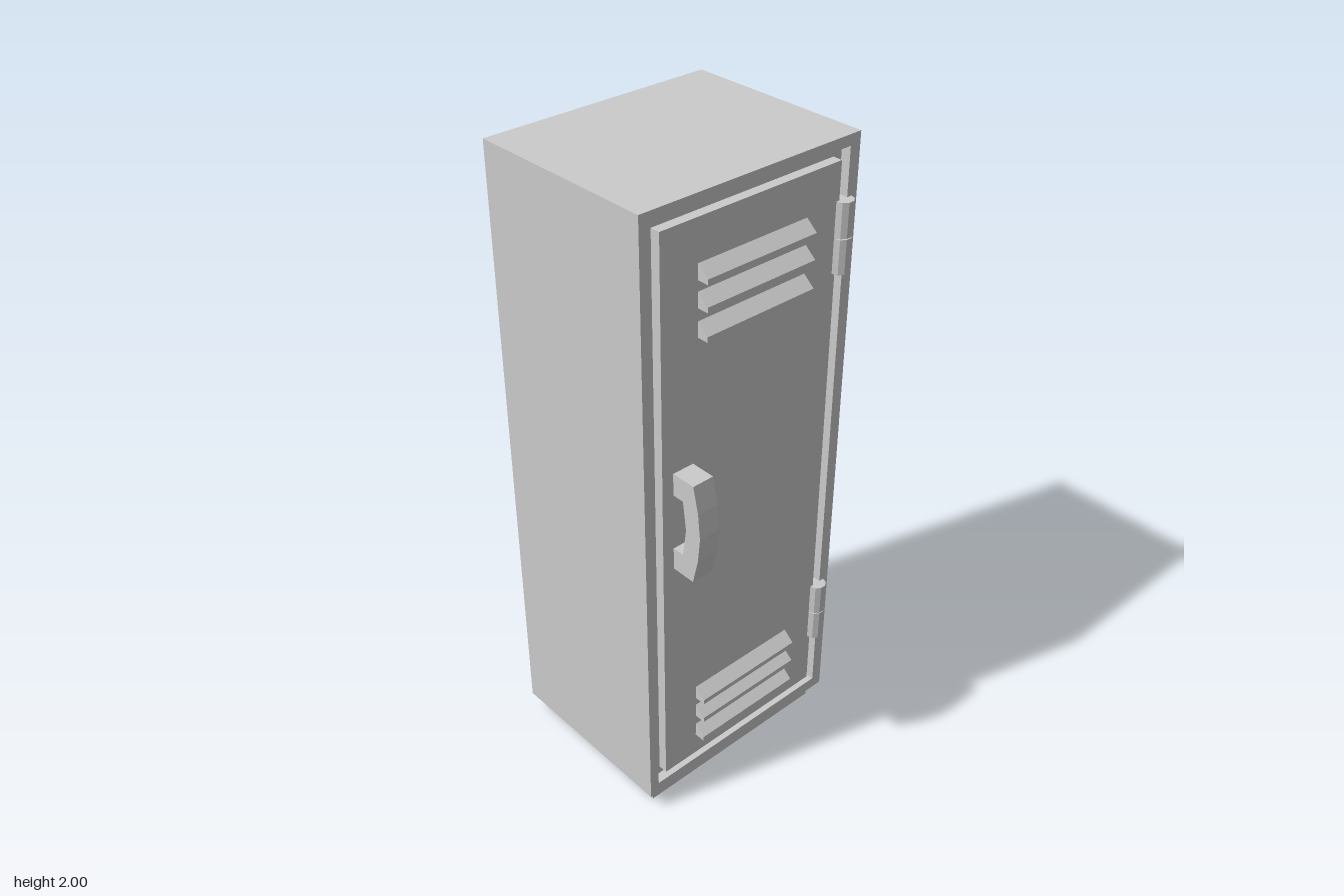
import * as THREE from 'three';

const material = new THREE.MeshStandardMaterial({ color: 0xcccccc, flatShading: true });
const FACE = 0.248; // x of the door face
const GROOVE = 0.03; // depth of the gap around the door

export function createModel() {
  const locker = new THREE.Group();
  locker.name = 'locker';

  const add = (name, geometry, x = 0, y = 0, z = 0) => {
    const mesh = new THREE.Mesh(geometry, material);
    mesh.name = name;
    mesh.position.set(x, y, z);
    locker.add(mesh);
    return mesh;
  };

  // Box given by its minimum and maximum corners
  const addBox = (name, [x0, y0, z0], [x1, y1, z1]) =>
    add(name, new THREE.BoxGeometry(x1 - x0, y1 - y0, z1 - z0),
      (x0 + x1) / 2, (y0 + y1) / 2, (z0 + z1) / 2);

  // Extrudes an x-y profile along z, centred on the given z
  const addProfile = (name, points, width, y, z) => {
    const shape = new THREE.Shape(points.map(([px, py]) => new THREE.Vector2(px, py)));
    const geometry = new THREE.ExtrudeGeometry(shape, { depth: width, bevelEnabled: false });
    return add(name, geometry, FACE, y, z - width / 2);
  };

  const rectangle = (path, u0, v0, u1, v1) =>
    path.moveTo(u0, v0).lineTo(u1, v0).lineTo(u1, v1).lineTo(u0, v1).closePath();

  // Plinth and cabinet
  addBox('plinth', [-0.325, 0, -0.342], [0.218, 0.057, 0.342]);
  addBox('cabinet', [-0.355, 0.057, -0.374], [FACE - GROOVE, 2, 0.374]);

  // Front frame around the door opening
  const frame = rectangle(new THREE.Shape(), -0.374, 0.057, 0.374, 2);
  frame.holes.push(rectangle(new THREE.Path(), -0.342, 0.096, 0.338, 1.968));
  const frameGeometry = new THREE.ExtrudeGeometry(frame, { depth: GROOVE, bevelEnabled: false });
  frameGeometry.rotateY(Math.PI / 2);
  add('doorFrame', frameGeometry, FACE - GROOVE);

  // Door, set in the opening with a gap all round
  addBox('door', [FACE - GROOVE, 0.124, -0.308], [FACE, 1.938, 0.312]);

  // Vent louvres, sloping on top and flat underneath
  const louvre = [[-0.005, 0], [0.036, 0], [0.036, 0.016], [0, 0.046], [-0.005, 0.046]];
  for (const y of [1.77, 1.693, 1.61, 0.358, 0.283, 0.201]) {
    addProfile('louvre', louvre, 0.378, y, 0);
  }

  // Hinges, each of two barrel knuckles
  for (const y of [1.722, 0.415]) {
    for (const side of [-1, 1]) {
      add('hingeKnuckle', new THREE.CylinderGeometry(0.029, 0.029, 0.103, 10),
        FACE, y + side * 0.053, -0.326);
    }
  }

  // Bowed door handle
  const handle = [
    [0, -0.16], [0.078, -0.16], [0.097, -0.08], [0.105, 0], [0.097, 0.08], [0.078, 0.16], [0, 0.16],
    [0, 0.09], [0.038, 0.09], [0.05, 0], [0.038, -0.09], [0, -0.09],
  ];
  addProfile('handle', handle, 0.07, 1.072, 0.239);

  return locker;
}
